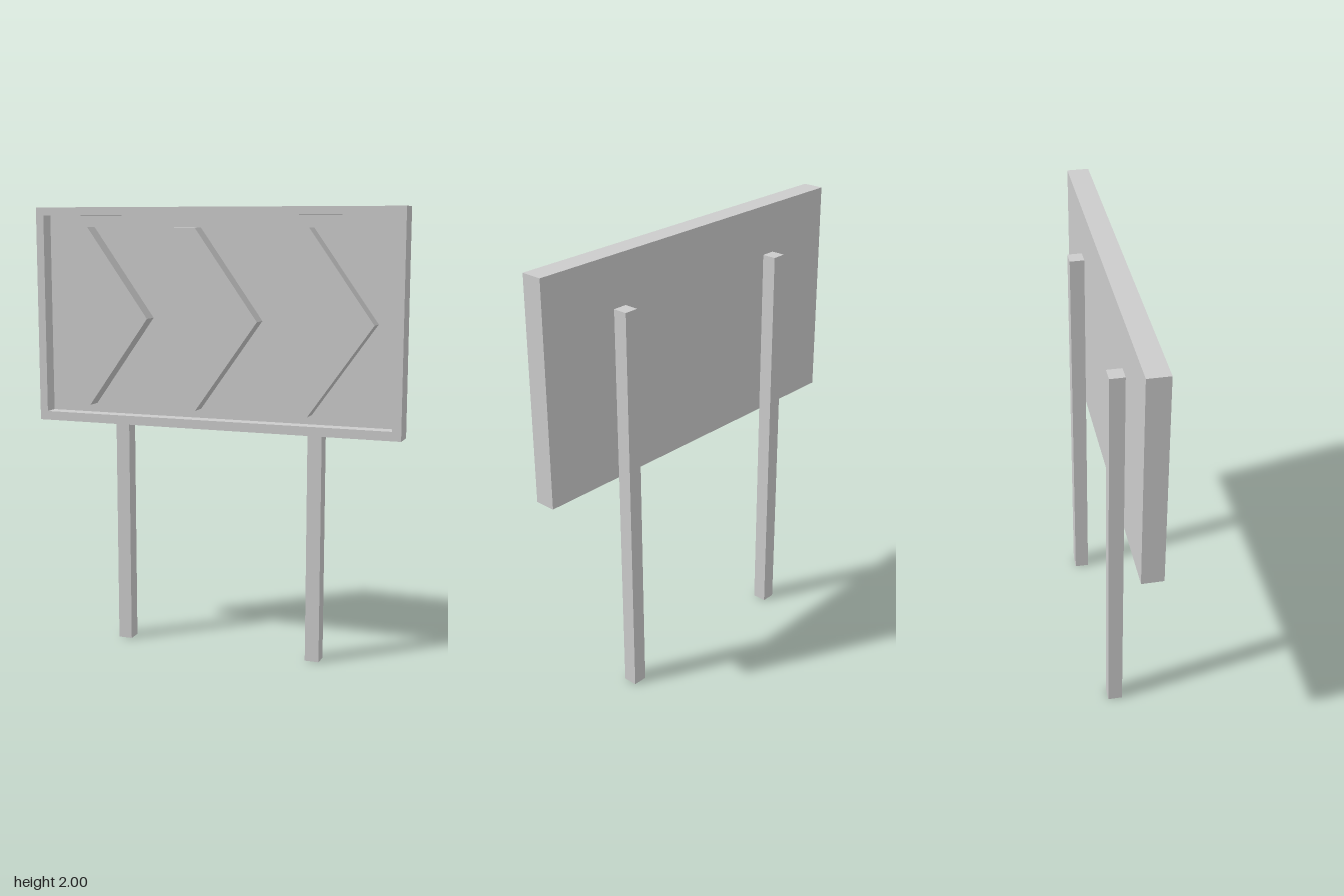
import * as THREE from 'three';

const BACK = -0.019, FLOOR = 0.01, FRONT = 0.075, PROUD = 0.083;

const polygon = (points) => new THREE.Shape(points.map(([x, y]) => new THREE.Vector2(x, y)));
const rect = (x0, y0, x1, y1) => [[x0, y0], [x1, y0], [x1, y1], [x0, y1]];

export function createModel() {
  const model = new THREE.Group();
  const grey = new THREE.MeshStandardMaterial({ color: 0xcccccc, flatShading: true });
  const greyOpen = grey.clone();
  greyOpen.side = THREE.DoubleSide;

  const add = (name, geometry, material = grey) => {
    const mesh = new THREE.Mesh(geometry, material);
    mesh.name = name;
    model.add(mesh);
    return mesh;
  };
  const slab = (shape, z0, z1) =>
    new THREE.ExtrudeGeometry(shape, { depth: z1 - z0, bevelEnabled: false }).translate(0, 0, z0);

  // Raised rim around the sign face
  const outline = rect(-0.845, 1.037, 0.845, 2);
  const rim = polygon(outline);
  rim.holes.push(polygon(rect(-0.808, 1.077, 0.806, 1.965)));
  add('frame', slab(rim, FLOOR, FRONT));

  // Backing board, its front forming the recessed face
  add('board', slab(polygon(outline), BACK, FLOOR));

  // Three chevrons pointing to +x, standing slightly proud of the rim
  const chevron = polygon([
    [-0.696, 1.118], [-0.585, 1.118], [-0.3, 1.515],
    [-0.585, 1.913], [-0.696, 1.913], [-0.411, 1.515],
  ]);
  const chevronGeometry = slab(chevron, FLOOR, PROUD);
  for (let i = 0; i < 3; i++) add(`chevron${i + 1}`, chevronGeometry).position.x = i * 0.512;

  // Square posts behind the board, open at the foot
  const postGeometry = new THREE.BoxGeometry(0.064, 1.78, 0.064);
  const index = [...postGeometry.index.array];
  index.splice(18, 6); // remove the bottom face
  postGeometry.setIndex(index);
  postGeometry.clearGroups();
  for (const [name, x] of [['rightPost', -0.472], ['leftPost', 0.444]]) {
    add(name, postGeometry, greyOpen).position.set(x, 0.89, BACK - 0.032);
  }

  return model;
}
